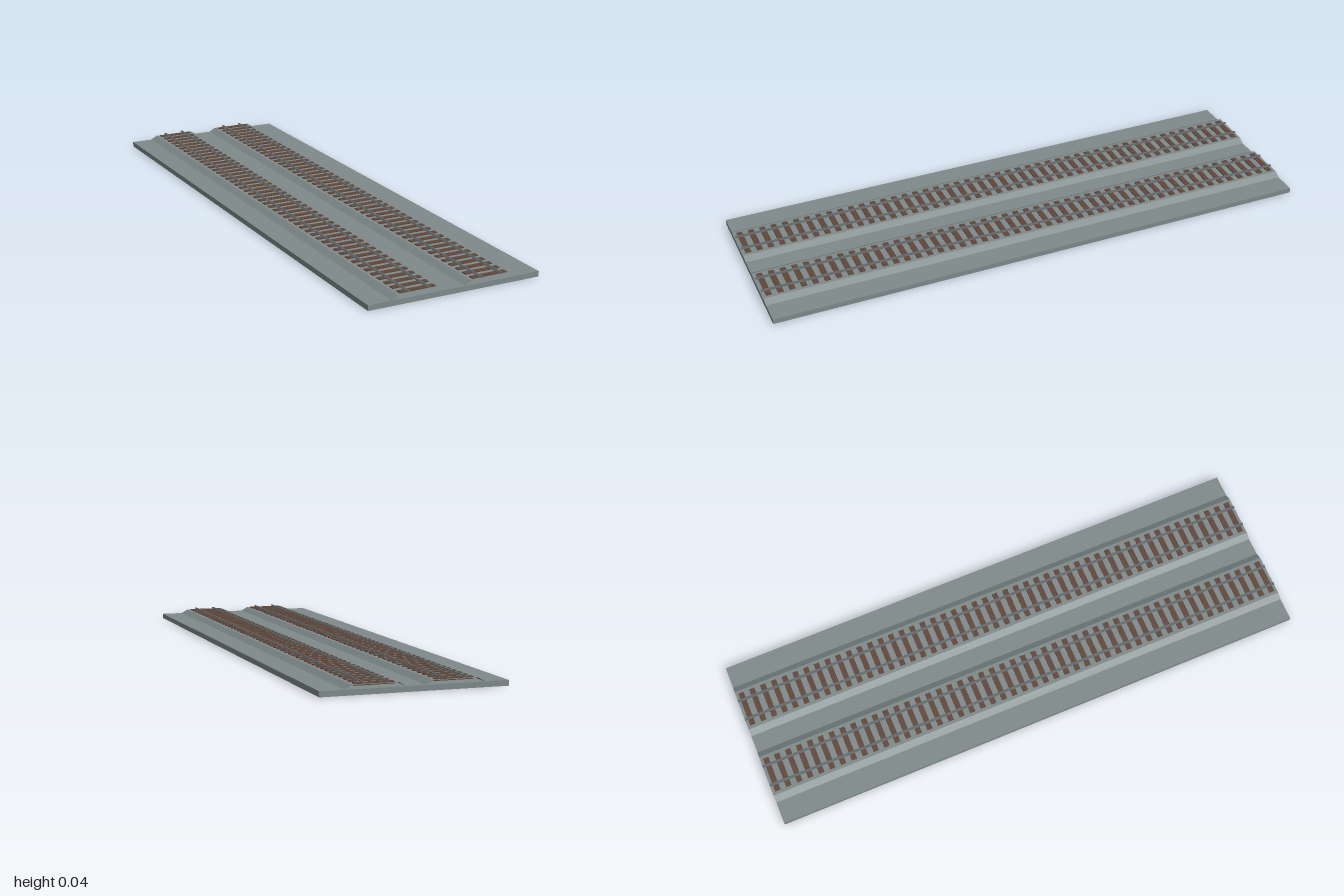
import * as THREE from 'three';

const mat = (name, color, side = THREE.FrontSide) => {
  const m = new THREE.MeshStandardMaterial({ color, side });
  m.name = name;
  return m;
};

// Open strip: a cross-section in x,y swept along the full length in z, with flat facets
function sweep(profile, length) {
  const pos = [];
  const h = length / 2;
  for (let i = 0; i < profile.length - 1; i++) {
    const [ax, ay] = profile[i], [bx, by] = profile[i + 1];
    pos.push(ax, ay, h, bx, by, h, bx, by, -h);
    pos.push(ax, ay, h, bx, by, -h, ax, ay, -h);
  }
  const g = new THREE.BufferGeometry();
  g.setAttribute('position', new THREE.Float32BufferAttribute(pos, 3));
  g.computeVertexNormals();
  return g;
}

export function createModel() {
  const stone = mat('stone grey', 0x7f8a8a);
  const gravel = mat('gravel grey', 0x7f8a8a, THREE.DoubleSide);
  const wood = mat('sleeper brown', 0x60463a);
  const steel = mat('rail steel', 0x62696c, THREE.DoubleSide);

  const model = new THREE.Group();
  model.name = 'doubleTrack';
  const add = (parent, name, geometry, material, x = 0, y = 0, z = 0) => {
    const mesh = new THREE.Mesh(geometry, material);
    mesh.name = name;
    mesh.position.set(x, y, z);
    parent.add(mesh);
  };

  // Ground slab
  const slabTop = 0.0185;
  add(model, 'slab', new THREE.BoxGeometry(0.63, slabTop, 2), stone, 0, slabTop / 2);

  // Shared track parts
  const ballast = sweep([[-0.1, slabTop], [-0.077, 0.032], [0.077, 0.032], [0.1, slabTop]], 2);
  const sleeper = new THREE.BoxGeometry(0.13, 0.008, 0.02);
  const rail = sweep([
    [-0.005, 0], [-0.005, 0.0008], [-0.0015, 0.0012], [-0.0015, 0.0028], [-0.0035, 0.003], [-0.0035, 0.0044],
    [0.0035, 0.0044], [0.0035, 0.003], [0.0015, 0.0028], [0.0015, 0.0012], [0.005, 0.0008], [0.005, 0],
  ], 2);

  const count = 48;
  const pitch = 2 / count;
  for (const side of [-1, 1]) {
    const track = new THREE.Group();
    track.name = side > 0 ? 'leftTrack' : 'rightTrack';
    track.position.x = side * 0.133;
    model.add(track);

    // Raised gravel bed
    add(track, 'ballast', ballast, gravel);

    // Sleepers half sunk in the bed
    for (let i = 0; i < count; i++) {
      add(track, 'sleeper', sleeper, wood, 0, 0.031, -1 + (i + 0.5) * pitch);
    }

    // Pair of rails
    for (const s of [-1, 1]) add(track, 'rail', rail, steel, s * 0.0375, 0.035);
  }
  return model;
}
